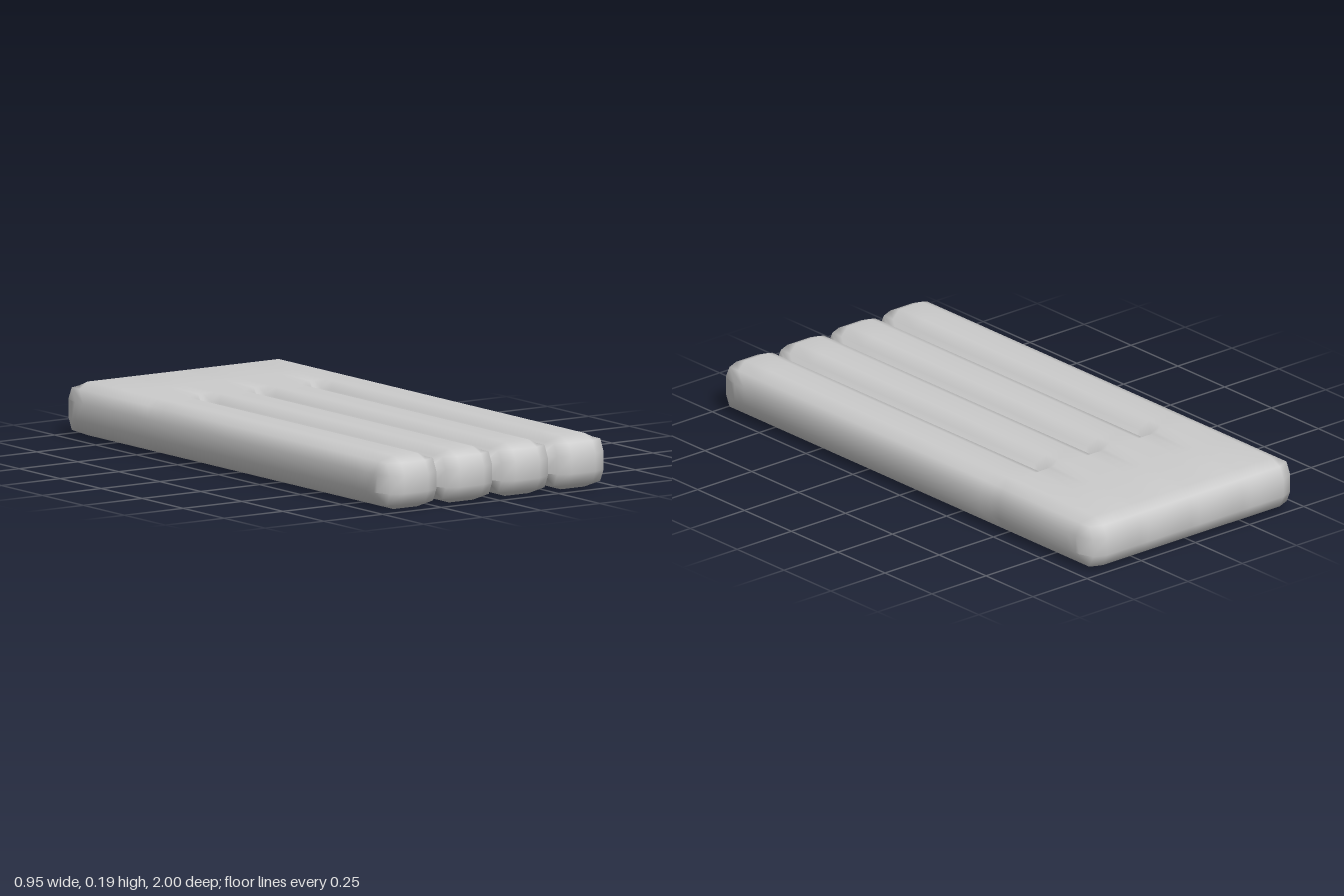
import * as THREE from 'three';

const LOBES = 4, WIDTH = 0.95, MID = 0.095;
// rounded edge: [inset across, half height, pull-back of the end]
const EDGE = [[0, 0.032, 0.07], [0.02, 0.075, 0.02], [0.068, 0.095, 0]];

// Columns run across the mattress; grooves share one column between two lobes
function makeColumns() {
  const cols = [], w = WIDTH / LOBES;
  for (let k = 0; k < LOBES; k++) {
    const x0 = -WIDTH / 2 + k * w;
    EDGE.forEach(([d, h, pull], i) => {
      if (k > 0 && i === 0) return;
      cols.push({ x: x0 + d, h, pull, outer: k === 0 });
    });
    [...EDGE].reverse().forEach(([d, h, pull]) => {
      cols.push({ x: x0 + w - d, h, pull, outer: k === LOBES - 1 });
    });
  }
  return cols;
}

// Upper half of one lengthwise section, from back to front: [z, half height]
function section({ h, pull, outer }) {
  const back = -1 + (outer ? pull : 0), front = 1 - pull;
  const backH = outer ? h : 0.095;
  const pts = EDGE.map(([d, eh]) => [back + d, Math.min(eh, backH)]);
  for (const z of [-0.7, -0.5]) pts.push([z, backH]);
  // grooves begin just behind the middle
  for (const z of [-0.46, -0.4, 0, 0.45, 0.8]) pts.push([z, h]);
  [...EDGE].reverse().forEach(([d, eh]) => pts.push([front - d, Math.min(eh, h)]));
  return pts;
}

export function createModel() {
  const group = new THREE.Group();
  group.name = 'airMattress';

  const cols = makeColumns(), positions = [], index = [];
  let n = 0;
  for (const col of cols) {
    const top = section(col);
    n = top.length;
    for (const [z, h] of top) positions.push(col.x, MID + h, z);
    for (const [z, h] of [...top].reverse()) positions.push(col.x, MID - h, z);
  }
  const loop = 2 * n;
  const quad = (a, b, c, d) => index.push(a, b, d, d, b, c);

  // Skin between neighbouring sections
  for (let i = 0; i < cols.length - 1; i++) {
    for (let j = 0; j < loop; j++) {
      const k = (j + 1) % loop, a = i * loop, b = a + loop;
      quad(a + j, a + k, b + k, b + j);
    }
  }
  // Narrow flat strips along both outer sides
  const last = (cols.length - 1) * loop;
  for (let j = 0; j < n - 1; j++) {
    const under = loop - 1 - j;
    quad(j, under, under - 1, j + 1);
    quad(last + j, last + j + 1, last + under - 1, last + under);
  }

  const geometry = new THREE.BufferGeometry();
  geometry.setAttribute('position', new THREE.Float32BufferAttribute(positions, 3));
  geometry.setIndex(index);
  geometry.computeVertexNormals();

  const mattress = new THREE.Mesh(geometry, new THREE.MeshStandardMaterial({ color: 0xcccccc }));
  mattress.name = 'inflatedBody';
  group.add(mattress);
  return group;
}
